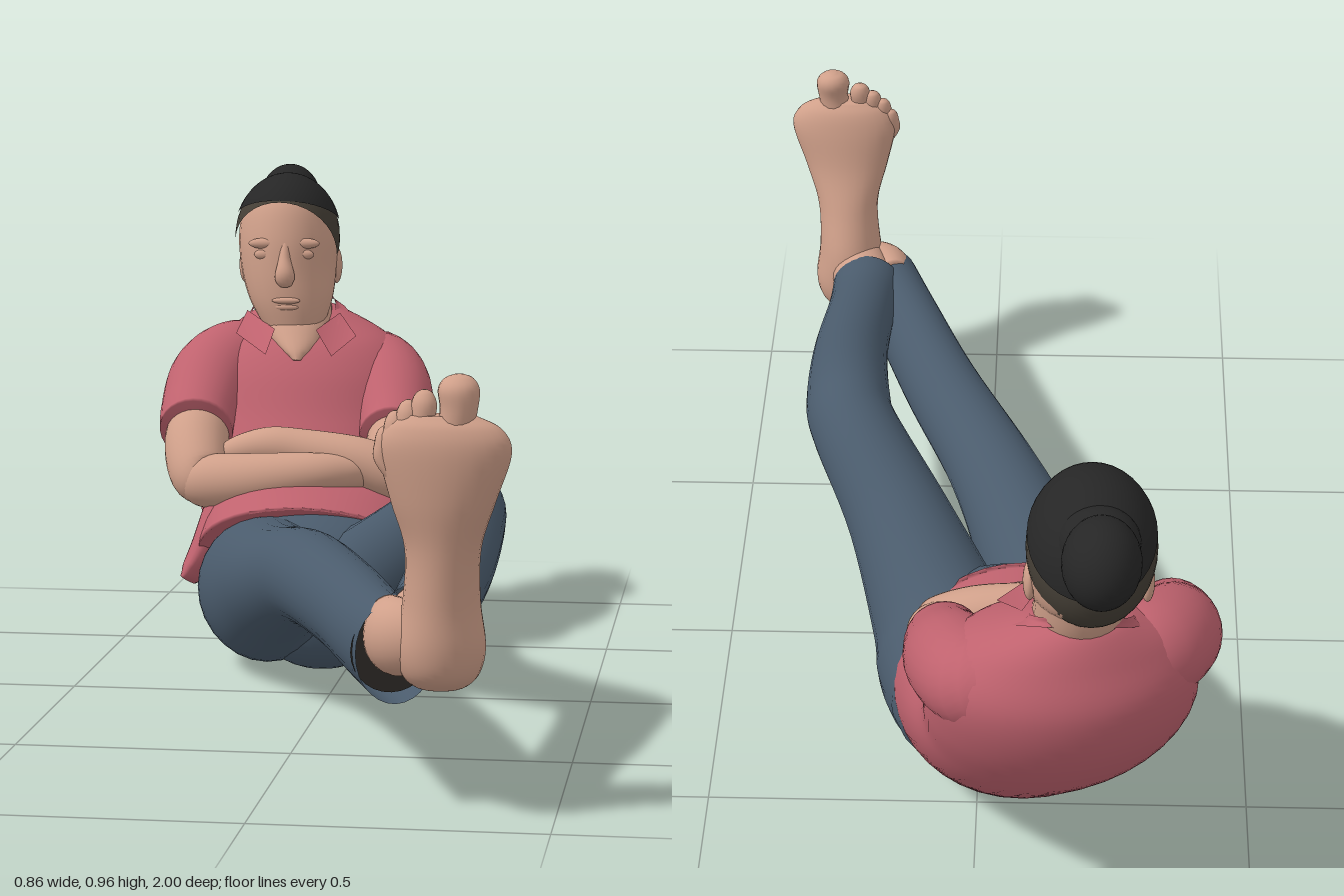
import * as THREE from 'three';

const mat = (name, color, side = THREE.FrontSide) => {
  const m = new THREE.MeshStandardMaterial({ color, side });
  m.name = name;
  return m;
};
const V = (x, y, z) => new THREE.Vector3(x, y, z);

// Smooth body through elliptical rings [x, y, z, half width, half depth, lean].
// Rings stand square to the path unless a lean (radians back from upright) is given.
function sweep(rings, { hint = V(1, 0, 0), sides = 28, steps = 6, open = false } = {}) {
  const path = new THREE.CatmullRomCurve3(rings.map(r => V(r[0], r[1], r[2])), false, 'catmullrom');
  const size = new THREE.CatmullRomCurve3(rings.map(r => V(r[3], r[4] ?? r[3], r[5] ?? 0)), false, 'catmullrom');
  const leaning = rings[0][5] !== undefined;
  const n = (rings.length - 1) * steps, pos = [], idx = [];
  for (let i = 0; i <= n; i++) {
    const p = path.getPoint(i / n), s = size.getPoint(i / n);
    const t = leaning ? V(0, Math.cos(s.z), -Math.sin(s.z)) : path.getTangent(i / n);
    const u = hint.clone().addScaledVector(t, -hint.dot(t)).normalize();
    const v = t.clone().cross(u);
    for (let j = 0; j < sides; j++) {
      const a = j / sides * Math.PI * 2;
      const q = p.clone().addScaledVector(u, s.x * Math.cos(a)).addScaledVector(v, s.y * Math.sin(a));
      pos.push(q.x, q.y, q.z);
      if (i < n) {
        const k = i * sides, j2 = (j + 1) % sides;
        idx.push(k + j, k + j2, k + sides + j, k + j2, k + sides + j2, k + sides + j);
      }
    }
  }
  if (!open) {
    const c = (n + 1) * sides, e = n * sides;
    pos.push(...path.getPoint(0).toArray(), ...path.getPoint(1).toArray());
    for (let j = 0; j < sides; j++) {
      const j2 = (j + 1) % sides;
      idx.push(c, j2, j, c + 1, e + j, e + j2);
    }
  }
  const g = new THREE.BufferGeometry();
  g.setAttribute('position', new THREE.Float32BufferAttribute(pos, 3));
  g.setIndex(idx);
  g.computeVertexNormals();
  return g;
}
const level = rings => rings.map(r => [...r, 0]);

const ball = (x, y, z, rx, ry = rx, rz = rx) =>
  new THREE.SphereGeometry(1, 28, 20).scale(rx, ry, rz).translate(x, y, z);

// Thin sheet from a loop of corners
function sheet(...pts) {
  const g = new THREE.BufferGeometry();
  g.setAttribute('position', new THREE.Float32BufferAttribute(pts.flat(), 3));
  g.setIndex(pts.slice(2).flatMap((_, i) => [0, i + 1, i + 2]));
  g.computeVertexNormals();
  return g;
}

export function createModel() {
  const root = new THREE.Group();
  root.name = 'recliningPerson';
  const skin = mat('skin', 0xd0a08a);
  const shirt = mat('shirt', 0xbf626e, THREE.DoubleSide);
  const denim = mat('denim', 0x4a5b6c, THREE.DoubleSide);
  const hair = mat('hair', 0x262626);
  const shaved = mat('shavedHair', 0x453f36);
  const lining = mat('trouserLining', 0x2e2a26, THREE.DoubleSide);
  const add = (name, geo, m, parent = root) => {
    const mesh = new THREE.Mesh(geo, m);
    mesh.name = name;
    parent.add(mesh);
    return mesh;
  };

  // Shirt body, turned slightly about the spine
  const turn = V(1, 0, -0.2).normalize();
  add('shirtBody', sweep([
    [-0.08, 0.19, -0.37, 0.24, 0.225, 0.64], [-0.10, 0.255, -0.49, 0.232, 0.205, 0.45],
    [-0.137, 0.338, -0.622, 0.232, 0.189, 0.2], [-0.152, 0.435, -0.697, 0.24, 0.188, 0.08],
    [-0.157, 0.535, -0.74, 0.23, 0.17, 0.04], [-0.163, 0.602, -0.75, 0.185, 0.135, -0.08],
    [-0.175, 0.645, -0.757, 0.11, 0.10, -0.25], [-0.18, 0.66, -0.76, 0.07, 0.07, -0.3],
  ], { hint: turn, sides: 40 }), shirt);
  add('hemFlap', sweep([[-0.275, 0.29, -0.43, 0.04, 0.07], [-0.30, 0.22, -0.40, 0.035, 0.075],
    [-0.33, 0.165, -0.385, 0.025, 0.075], [-0.345, 0.145, -0.38, 0.012, 0.07]]), shirt);

  // Sleeves
  add('rightSleeve', sweep([[-0.24, 0.56, -0.76, 0.07], [-0.30, 0.55, -0.73, 0.09],
    [-0.34, 0.52, -0.65, 0.09], [-0.35, 0.465, -0.55, 0.08], [-0.347, 0.435, -0.495, 0.075]]), shirt);
  add('leftSleeve', sweep([[-0.08, 0.55, -0.80, 0.07], [-0.01, 0.53, -0.79, 0.086],
    [0.03, 0.495, -0.70, 0.088], [0.05, 0.445, -0.60, 0.077], [0.055, 0.42, -0.545, 0.07]]), shirt);

  // Collar
  add('collarBand', sweep([[-0.175, 0.625, -0.755, 0.118, 0.112, -0.6], [-0.182, 0.642, -0.765, 0.10, 0.10, -0.6],
    [-0.185, 0.662, -0.775, 0.088, 0.092, -0.55]], { open: true }), shirt);
  add('rightCollarFlap', sheet([-0.28, 0.66, -0.74], [-0.205, 0.632, -0.635],
    [-0.215, 0.585, -0.575], [-0.29, 0.62, -0.655]), shirt);
  add('leftCollarFlap', sheet([-0.085, 0.655, -0.76], [-0.12, 0.63, -0.645],
    [-0.08, 0.582, -0.59], [-0.04, 0.615, -0.68]), shirt);

  // Crossed arms
  const up = V(0, 1, 0.2);
  add('rightUpperArm', sweep([[-0.345, 0.46, -0.55, 0.06], [-0.343, 0.41, -0.48, 0.066],
    [-0.325, 0.355, -0.41, 0.058], [-0.30, 0.34, -0.385, 0.035]]), skin);
  add('rightForearm', sweep([[-0.345, 0.345, -0.42, 0.025], [-0.315, 0.345, -0.40, 0.053],
    [-0.22, 0.352, -0.378, 0.055], [-0.10, 0.368, -0.372, 0.044], [-0.03, 0.37, -0.39, 0.036],
    [0.02, 0.365, -0.425, 0.028], [0.04, 0.36, -0.45, 0.01]], { hint: up }), skin);
  add('leftUpperArm', sweep([[0.057, 0.43, -0.57, 0.058], [0.065, 0.39, -0.50, 0.06],
    [0.072, 0.352, -0.435, 0.054], [0.06, 0.35, -0.41, 0.03]]), skin);
  add('leftForearm', sweep([[0.11, 0.355, -0.44, 0.02], [0.08, 0.358, -0.43, 0.05],
    [0, 0.388, -0.425, 0.05], [-0.12, 0.41, -0.43, 0.042], [-0.19, 0.415, -0.435, 0.038],
    [-0.26, 0.40, -0.45, 0.028], [-0.29, 0.39, -0.46, 0.01]], { hint: up }), skin);

  // Head and neck
  const head = new THREE.Group();
  head.name = 'head';
  root.add(head);
  add('neck', sweep(level([[-0.153, 0.572, -0.67, 0.02, 0.083], [-0.16, 0.595, -0.692, 0.05, 0.092],
    [-0.172, 0.63, -0.73, 0.072, 0.098], [-0.185, 0.68, -0.768, 0.08, 0.09],
    [-0.195, 0.75, -0.795, 0.085, 0.085]])), skin, head);
  add('face', sweep(level([[-0.172, 0.598, -0.685, 0.02, 0.02], [-0.173, 0.606, -0.687, 0.04, 0.038],
    [-0.177, 0.64, -0.71, 0.066, 0.068], [-0.186, 0.69, -0.737, 0.088, 0.10],
    [-0.195, 0.75, -0.772, 0.10, 0.132], [-0.198, 0.82, -0.785, 0.104, 0.134],
    [-0.20, 0.885, -0.785, 0.09, 0.109], [-0.20, 0.92, -0.785, 0.058, 0.07],
    [-0.20, 0.938, -0.785, 0.02, 0.02]])), skin, head);
  add('nose', sweep([[-0.187, 0.81, -0.664, 0.010, 0.012], [-0.186, 0.775, -0.648, 0.013, 0.016],
    [-0.184, 0.742, -0.635, 0.021, 0.02], [-0.184, 0.724, -0.644, 0.014, 0.012]], { sides: 16 }), skin, head);
  add('upperLip', ball(-0.182, 0.691, -0.64, 0.03, 0.007, 0.009), skin, head);
  add('lowerLip', ball(-0.182, 0.677, -0.645, 0.026, 0.008, 0.009), skin, head);
  add('chin', ball(-0.176, 0.63, -0.66, 0.033, 0.024, 0.018), skin, head);
  for (const s of [-1, 1]) {
    add('eyelid', ball(-0.19 + s * 0.041, 0.785, -0.665 - s * 0.005, 0.021, 0.011, 0.01), skin, head);
    add('brow', ball(-0.19 + s * 0.042, 0.808, -0.666 - s * 0.005, 0.032, 0.011, 0.011), skin, head);
    add('ear', ball(-0.196 + s * 0.098, 0.752, -0.80, 0.012, 0.038, 0.024), skin, head);
  }

  // Hair: shaved band tipped far back, dark cap above it, and bun
  const cap = (angle, tip, grow) => new THREE.SphereGeometry(1, 36, 16, 0, Math.PI * 2, 0, angle)
    .rotateX(-tip).scale(0.109 + grow, 0.132 + grow, 0.14 + grow).translate(-0.20, 0.812, -0.783);
  add('hairSides', cap(1.8, 0.88, 0.001), shaved, head);
  add('hairTop', cap(1.27, 0.37, 0.004), hair, head);
  add('hairBun', ball(-0.215, 0.88, -0.92, 0.066, 0.078, 0.079), hair, head);
  add('bunBase', ball(-0.21, 0.875, -0.86, 0.07, 0.065, 0.06), hair, head);

  // Trousers
  add('hips', ball(-0.065, 0.15, -0.36, 0.232, 0.15, 0.205), denim);
  add('lap', ball(-0.055, 0.205, -0.255, 0.195, 0.115, 0.16), denim);
  add('seat', ball(-0.045, 0.12, -0.21, 0.14, 0.113, 0.13), denim);
  add('leftTrouserLeg', sweep([[0, 0.15, -0.50, 0.04], [0.03, 0.15, -0.40, 0.12], [0.05, 0.152, -0.29, 0.142],
    [0.08, 0.178, -0.18, 0.13, 0.14], [0.165, 0.285, 0, 0.10, 0.105], [0.255, 0.375, 0.16, 0.085, 0.092],
    [0.275, 0.386, 0.25, 0.083, 0.09], [0.285, 0.345, 0.48, 0.075, 0.078], [0.275, 0.31, 0.70, 0.07, 0.07],
    [0.27, 0.302, 0.805, 0.072, 0.07]], { open: true }), denim);
  add('rightTrouserLeg', sweep([[-0.13, 0.15, -0.50, 0.04], [-0.16, 0.15, -0.41, 0.12], [-0.165, 0.152, -0.30, 0.142],
    [-0.145, 0.168, -0.18, 0.127, 0.142], [-0.09, 0.215, 0, 0.107, 0.11], [-0.01, 0.262, 0.20, 0.087, 0.088],
    [0.10, 0.265, 0.48, 0.076, 0.082], [0.18, 0.262, 0.72, 0.07, 0.082], [0.232, 0.264, 0.87, 0.068, 0.086]],
  { open: true }), denim);
  const inner = add('rightLegOpening', new THREE.CircleGeometry(0.07, 28), lining);
  inner.position.set(0.222, 0.262, 0.845);
  inner.rotation.y = 0.33;

  // Bare foot, sole forward and toes up
  const foot = new THREE.Group();
  foot.name = 'foot';
  root.add(foot);
  add('ankle', sweep([[0.27, 0.305, 0.74, 0.06], [0.275, 0.308, 0.80, 0.062], [0.295, 0.315, 0.87, 0.06],
    [0.31, 0.31, 0.91, 0.04]]), skin, foot);
  add('innerAnkle', sweep([[0.215, 0.29, 0.82, 0.045, 0.062], [0.24, 0.292, 0.875, 0.057, 0.065],
    [0.29, 0.295, 0.905, 0.045, 0.055]]), skin, foot);
  add('sole', sweep(level([[0.308, 0.21, 0.89, 0.02, 0.02], [0.308, 0.217, 0.89, 0.045, 0.045],
    [0.308, 0.24, 0.89, 0.066, 0.072], [0.308, 0.285, 0.89, 0.075, 0.084], [0.31, 0.36, 0.893, 0.064, 0.082],
    [0.314, 0.45, 0.913, 0.063, 0.068], [0.316, 0.53, 0.935, 0.086, 0.058], [0.32, 0.61, 0.947, 0.108, 0.051],
    [0.318, 0.65, 0.95, 0.095, 0.04], [0.31, 0.672, 0.95, 0.06, 0.022]])), skin, foot);
  const toes = [[0.342, 0.738, 0.034], [0.286, 0.712, 0.021], [0.26, 0.695, 0.019],
    [0.239, 0.677, 0.018], [0.223, 0.652, 0.017]];
  for (const [x, top, r] of toes) {
    add('toe', sweep(level([[0.5 * x + 0.16, top - 0.12, 0.95, r * 0.9, r * 0.9], [x, top - 0.06, 0.952, r * 0.9, r * 0.9],
      [x, top - 0.025, 0.948, r, r], [x, top - 0.007, 0.944, r * 0.7, r * 0.7], [x, top, 0.942, r * 0.2, r * 0.2]]),
    { sides: 16 }), skin, foot);
  }
  return root;
}
